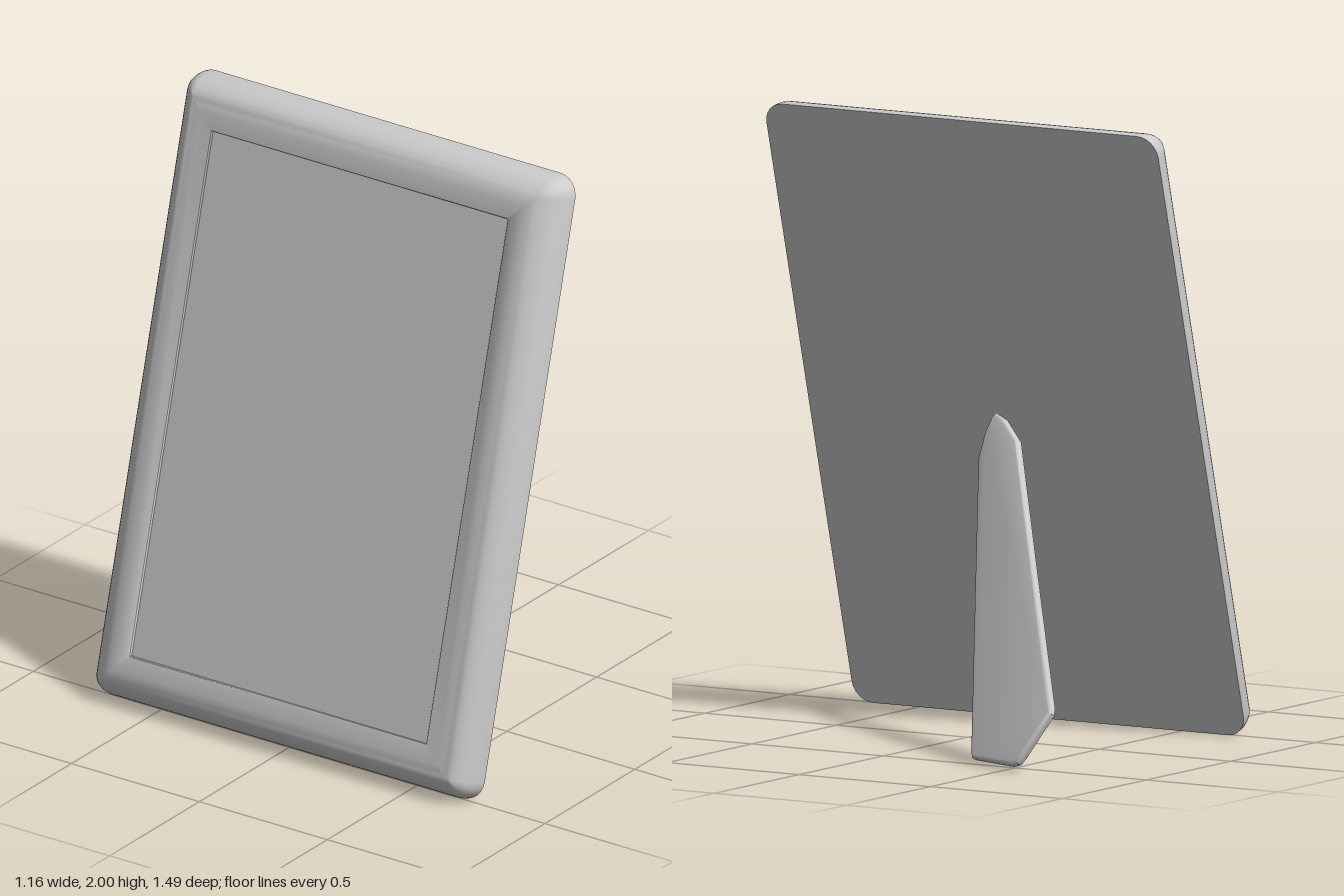
import * as THREE from 'three';
import { toCreasedNormals } from 'three/addons/utils/BufferGeometryUtils.js';

const HALF_W = 0.745, HALF_H = 1.036, CORNER = 0.07, SEG = 6;
const WINDOW = 0.165, DEPTH = 0.121, PANEL_Z = 0.107;

// Points of a rounded rectangle, inset from the outer edge, counter-clockwise
function roundedRing(inset) {
  const r = Math.max(CORNER - inset, 0.003);
  const cx = HALF_W - inset - r, cy = HALF_H - inset - r;
  const points = [];
  [[1, 1], [-1, 1], [-1, -1], [1, -1]].forEach(([sx, sy], q) => {
    for (let i = 0; i <= SEG; i++) {
      const a = (q + i / SEG) * Math.PI / 2;
      points.push(new THREE.Vector2(sx * cx + r * Math.cos(a), sy * cy + r * Math.sin(a)));
    }
  });
  return points;
}

// Skin a [inset, z] profile around the rounded rectangle
function loftFrame(profile) {
  const positions = [], index = [];
  const n = 4 * (SEG + 1);
  profile.forEach(([inset, z], k) => {
    roundedRing(inset).forEach((p, i) => {
      positions.push(p.x, p.y, z);
      if (k === 0) return;
      const a = (k - 1) * n + i, b = (k - 1) * n + (i + 1) % n;
      index.push(a, b, b + n, a, b + n, a + n);
    });
  });
  const g = new THREE.BufferGeometry();
  g.setAttribute('position', new THREE.Float32BufferAttribute(positions, 3));
  g.setIndex(index);
  return toCreasedNormals(g, 0.7);
}

export function createModel() {
  const model = new THREE.Group();
  model.name = 'pictureFrame';
  const material = new THREE.MeshStandardMaterial({ color: 0xcccccc });
  const add = (parent, name, geometry) => {
    const mesh = new THREE.Mesh(geometry, material);
    mesh.name = name;
    parent.add(mesh);
    return mesh;
  };

  // Leaning frame, facing -x
  const frame = new THREE.Group();
  frame.name = 'frame';
  const lean = Math.atan2(0.54, 2);
  const up = new THREE.Vector3(Math.sin(lean), Math.cos(lean), 0);
  const out = new THREE.Vector3(-Math.cos(lean), Math.sin(lean), 0);
  const basis = new THREE.Matrix4().makeBasis(new THREE.Vector3(0, 0, 1), up, out);
  frame.quaternion.setFromRotationMatrix(basis);
  frame.position.set(-0.49, 0, 0).addScaledVector(up, HALF_H);
  model.add(frame);

  // Rounded moulding with a small step down to the picture
  const profile = [];
  for (let i = 0; i <= 10; i++) {
    const t = i / 10 * Math.PI / 2;
    profile.push([0.11 * (1 - Math.cos(t)), DEPTH * Math.sin(t)]);
  }
  profile.push([WINDOW - 0.002, DEPTH], [WINDOW, DEPTH - 0.002], [WINDOW, PANEL_Z]);
  add(frame, 'moulding', loftFrame(profile));

  // Picture panel and back board
  const panel = add(frame, 'picturePanel',
    new THREE.PlaneGeometry(2 * (HALF_W - WINDOW), 2 * (HALF_H - WINDOW)));
  panel.position.z = PANEL_Z;
  const back = add(frame, 'backBoard', new THREE.ShapeGeometry(new THREE.Shape(roundedRing(0))));
  back.rotation.y = Math.PI;

  // Prop leg outline as [z, y], laid onto a slanting plane
  const outline = [
    [0.005, 1.022], [-0.04, 1.01], [-0.13, 0.955], [-0.4, 0.56], [-0.645, 0.205], [-0.65, 0.185],
    [-0.575, 0.045], [-0.56, 0.025], [-0.53, 0.016], [-0.345, 0.016], [-0.332, 0.035],
    [-0.11, 0.56], [0.025, 0.88], [0.028, 0.96], [0.016, 1.01],
  ];
  const slopeZ = -0.35, slopeY = -0.56, thick = 0.03, bevel = 0.009;
  const legGeometry = new THREE.ExtrudeGeometry(
    new THREE.Shape(outline.map(([z, y]) => new THREE.Vector2(z, y))),
    { depth: thick - 2 * bevel, bevelThickness: bevel, bevelSize: bevel, bevelOffset: -bevel, bevelSegments: 3 });
  legGeometry.translate(0, 0, bevel - thick / 2);
  const normal = new THREE.Vector3(-1, slopeY, slopeZ).normalize();
  legGeometry.applyMatrix4(new THREE.Matrix4().makeBasis(
    new THREE.Vector3(slopeZ, 0, 1), new THREE.Vector3(slopeY, 1, 0), normal));
  legGeometry.translate(0.387, 0, 0);
  add(model, 'propLeg', toCreasedNormals(legGeometry, 0.7));

  return model;
}
